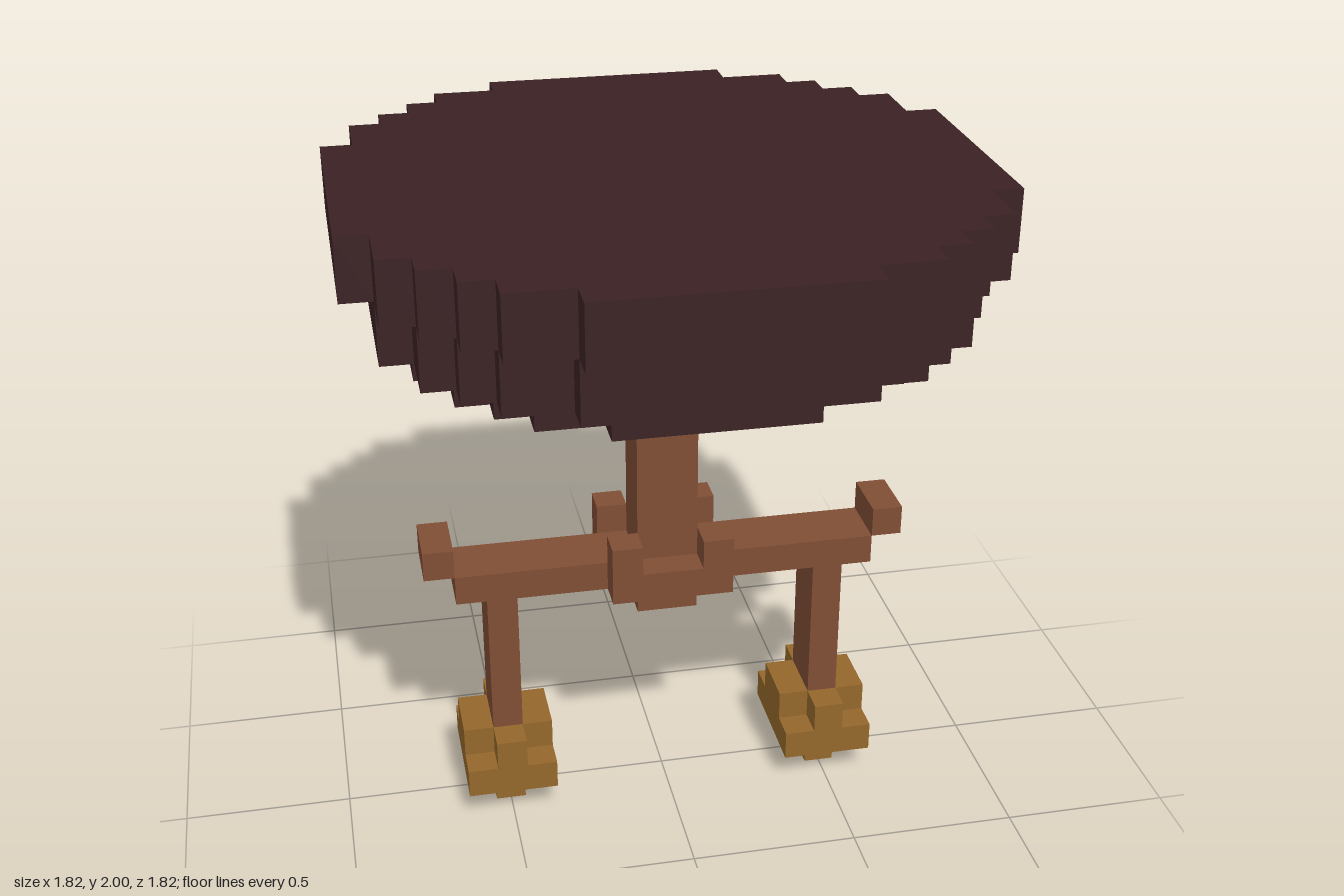
import * as THREE from 'three';

// One block of the grid
const U = 1 / 11;

const mat = (name, color) => {
  const m = new THREE.MeshStandardMaterial({ color });
  m.name = name;
  return m;
};

// Box given by its extents in blocks
function box(parent, name, material, [x0, x1], [y0, y1], [z0, z1]) {
  const geo = new THREE.BoxGeometry((x1 - x0) * U, (y1 - y0) * U, (z1 - z0) * U);
  const mesh = new THREE.Mesh(geo, material);
  mesh.name = name;
  mesh.position.set((x0 + x1) * U / 2, (y0 + y1) * U / 2, (z0 + z1) * U / 2);
  parent.add(mesh);
}

// Stepped disc: steps are the outer corners of one quadrant, in blocks
function steppedDisc(parent, name, material, steps, y0, y1) {
  const quadrant = [];
  steps.forEach(([x, z], i) => {
    if (i > 0) quadrant.push([x, steps[i - 1][1]]);
    quadrant.push([x, z]);
  });
  const points = [];
  for (let q = 0; q < 4; q++) {
    for (const [x, z] of quadrant) {
      const [a, b] = [[x, z], [-z, x], [-x, -z], [z, -x]][q];
      points.push(new THREE.Vector2(a * U, b * U));
    }
  }
  const geo = new THREE.ExtrudeGeometry(new THREE.Shape(points), { depth: (y1 - y0) * U, bevelEnabled: false });
  geo.rotateX(-Math.PI / 2);
  const mesh = new THREE.Mesh(geo, material);
  mesh.name = name;
  mesh.position.y = y0 * U;
  parent.add(mesh);
}

export function createModel() {
  const model = new THREE.Group();
  model.name = 'pedestalTable';
  const dark = mat('dark wood', 0x3b2224);
  const wood = mat('brown wood', 0x804e35);
  const gold = mat('gold', 0x94672b);

  // Table top in three shrinking layers
  steppedDisc(model, 'topLayer', dark, [[10, 4], [9, 6], [8, 7], [7, 8], [6, 9], [4, 10]], 20, 22);
  steppedDisc(model, 'middleLayer', dark, [[9, 4], [8, 6], [7, 7], [6, 8], [4, 9]], 18, 20);
  steppedDisc(model, 'lowerLayer', dark, [[8, 3], [7, 5], [6, 6], [5, 7], [3, 8]], 17, 18);

  // Column with a cross-shaped collar
  box(model, 'column', wood, [-1, 1], [7, 17], [-1, 1]);
  box(model, 'collarX', wood, [-2, 2], [16, 17], [-1, 1]);
  box(model, 'collarZ', wood, [-1, 1], [16, 17], [-2, 2]);

  // Hub with four corner studs
  box(model, 'hub', wood, [-2, 2], [8, 9], [-2, 2]);
  for (const x of [-2, 1]) {
    for (const z of [-2, 1]) box(model, 'hubStud', wood, [x, x + 1], [9, 10], [z, z + 1]);
  }

  // Cross beam
  box(model, 'beam', wood, [-7, 7], [8, 9], [-1, 1]);

  // Beam tip, leg and foot on each side
  for (const s of [-1, 1]) {
    const side = new THREE.Group();
    side.name = s > 0 ? 'leftSupport' : 'rightSupport';
    const span = (a, b) => (s > 0 ? [a, b] : [-b, -a]);
    box(side, 'beamTip', wood, span(7, 8), [9, 10], [-1, 1]);
    box(side, 'leg', wood, span(5, 6), [3, 8], [-1, 1]);
    box(side, 'footCrossX', gold, span(4, 7), [2, 3], [-1, 1]);
    box(side, 'footCrossZ', gold, span(5, 6), [2, 3], [-2, 2]);
    box(side, 'footBase', gold, span(4, 7), [1, 2], [-2, 2]);
    box(side, 'footPad', gold, span(5, 6), [0, 1], [-1, 1]);
    model.add(side);
  }
  return model;
}
